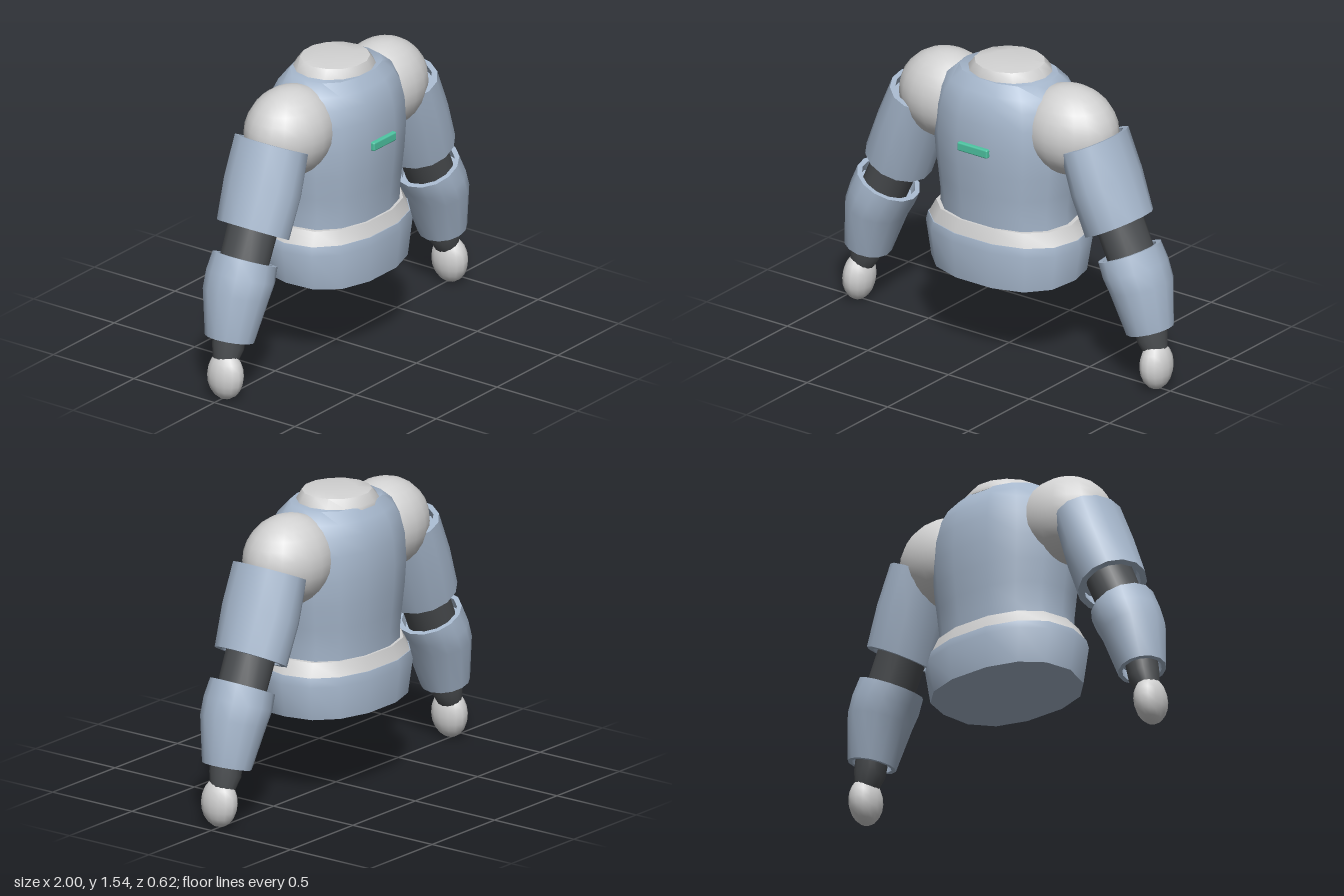
import * as THREE from 'three';
import { toCreasedNormals } from 'three/addons/utils/BufferGeometryUtils.js';
import { RoundedBoxGeometry } from 'three/addons/geometries/RoundedBoxGeometry.js';

const SIDES = 14;

function mat(name, color) {
  const m = new THREE.MeshStandardMaterial({ color });
  m.name = name;
  return m;
}

// Skin rings listed bottom to top: { x, y, z, tilt, rx, rz }; power 2 is an ellipse, higher is boxier.
function loft(rings, power = 2) {
  const pos = [], index = [];
  const bend = (v) => Math.sign(v) * Math.abs(v) ** (2 / power);
  for (const { x = 0, y, z = 0, tilt = 0, rx, rz } of rings) {
    for (let j = 0; j < SIDES; j++) {
      const a = (j / SIDES) * Math.PI * 2;
      const u = rx * bend(Math.cos(a));
      pos.push(x + u * Math.cos(tilt), y + u * Math.sin(tilt), z + rz * bend(Math.sin(a)));
    }
  }
  for (let i = 0; i < rings.length - 1; i++) {
    for (let j = 0; j < SIDES; j++) {
      const k = (j + 1) % SIDES;
      const a = i * SIDES + j, b = i * SIDES + k;
      const c = a + SIDES, d = b + SIDES;
      if (rings[i].rx > 0) index.push(a, d, b);
      if (rings[i + 1].rx > 0) index.push(a, c, d);
    }
  }
  const g = new THREE.BufferGeometry();
  g.setAttribute('position', new THREE.Float32BufferAttribute(pos, 3));
  g.setIndex(index);
  return toCreasedNormals(g, 0.75);
}

// Copy of a ring, scaled and slid along its own axis
function inset(r, scale, slide = 0) {
  const t = r.tilt || 0;
  return {
    ...r,
    x: (r.x || 0) - Math.sin(t) * slide, y: r.y + Math.cos(t) * slide,
    rx: r.rx * scale, rz: r.rz * scale,
  };
}

// Armour sleeve with a thick rim and a shallow recess at each end
function sleeve(rings) {
  const lo = rings[0], hi = rings[rings.length - 1];
  return loft([
    inset(lo, 0, 0.06), inset(lo, 0.82, 0.06), inset(lo, 0.82),
    ...rings,
    inset(hi, 0.85), inset(hi, 0.85, -0.06), inset(hi, 0, -0.06),
  ]);
}

const capped = (rings, power) =>
  loft([inset(rings[0], 0), ...rings, inset(rings[rings.length - 1], 0)], power);

export function createModel() {
  const model = new THREE.Group();
  const blue = mat('armourBlue', 0xa6b7cc);
  const grey = mat('lightGrey', 0xd2d2d2);
  const dark = mat('jointDark', 0x4b4e51);
  const mint = mat('badgeMint', 0x4ec4a2);

  function add(parent, name, geometry, material) {
    const m = new THREE.Mesh(geometry, material);
    m.name = name;
    parent.add(m);
    return m;
  }

  // Chest shell: height, half width, half depth
  const chest = [
    [0.66, 0.365, 0.262], [0.8, 0.36, 0.268], [0.9, 0.37, 0.278], [1.02, 0.386, 0.288],
    [1.15, 0.396, 0.294], [1.28, 0.388, 0.287], [1.37, 0.365, 0.268],
    [1.43, 0.33, 0.24], [1.485, 0.26, 0.195],
  ].map(([y, rx, rz]) => ({ y, rx, rz }));
  add(model, 'chest', capped(chest, 2.3), blue);

  // Waist belt and hip block, the hip dipping at the front
  add(model, 'belt', capped([
    { y: 0.655, rx: 0.43, rz: 0.305 },
    { y: 0.735, rx: 0.385, rz: 0.278 },
  ], 2.3), grey);
  const hip = capped([
    { y: 0.445, rx: 0.41, rz: 0.298 },
    { y: 0.62, rx: 0.44, rz: 0.316 },
    { y: 0.665, rx: 0.428, rz: 0.306 },
  ], 2.3);
  const p = hip.attributes.position;
  for (let i = 0; i < p.count; i++) {
    if (p.getY(i) < 0.5) p.setY(i, p.getY(i) - 0.02 * THREE.MathUtils.clamp(p.getZ(i) / 0.25, 0, 1));
  }
  hip.computeBoundingSphere();
  add(model, 'hips', hip, blue);

  // Neck collar
  add(model, 'collar', capped([
    { y: 1.47, z: -0.01, rx: 0.222, rz: 0.2 },
    { y: 1.487, z: -0.01, rx: 0.217, rz: 0.198 },
    { y: 1.53, z: -0.005, rx: 0.18, rz: 0.17 },
    { y: 1.54, z: -0.005, rx: 0.1, rz: 0.1 },
  ]), grey);

  // Chest badge
  add(model, 'badge', new RoundedBoxGeometry(0.186, 0.046, 0.03, 2, 0.008), mint)
    .position.set(0, 1.145, 0.293);

  // Arms
  for (const [side, s] of [['left', 1], ['right', -1]]) {
    const arm = new THREE.Group();
    arm.name = side + 'Arm';
    model.add(arm);
    const ring = (x, y, deg, rx, rz) =>
      ({ x: s * x, y, tilt: s * THREE.MathUtils.degToRad(deg), rx, rz });

    const shoulder = add(arm, 'shoulder', new THREE.SphereGeometry(1, 20, 14), grey);
    shoulder.scale.set(0.26, 0.232, 0.213);
    shoulder.position.set(s * 0.38, 1.258, 0);

    add(arm, 'upperArm', sleeve([
      ring(0.683, 0.825, 27, 0.172, 0.195),
      ring(0.605, 1.03, 26, 0.168, 0.214),
      ring(0.53, 1.235, 25, 0.155, 0.208),
    ]), blue);

    add(arm, 'elbow', capped([
      ring(0.8, 0.58, 24, 0.115, 0.128),
      ring(0.645, 0.92, 24, 0.118, 0.132),
    ]), dark);

    add(arm, 'forearm', sleeve([
      ring(0.875, 0.305, 15, 0.119, 0.128),
      ring(0.822, 0.53, 16, 0.157, 0.174),
      ring(0.785, 0.61, 20, 0.165, 0.18),
      ring(0.748, 0.69, 24.5, 0.168, 0.166),
    ]), blue);

    add(arm, 'wrist', capped([
      ring(0.91, 0.2, 20, 0.06, 0.065),
      ring(0.888, 0.265, 20, 0.08, 0.082),
      ring(0.865, 0.38, 18, 0.085, 0.085),
    ]), dark);

    const hand = add(arm, 'hand', new THREE.SphereGeometry(1, 14, 10), grey);
    hand.scale.set(0.076, 0.125, 0.101);
    hand.position.set(s * 0.922, 0.126, 0.01);
    hand.rotation.z = s * 0.04;
  }
  return model;
}
